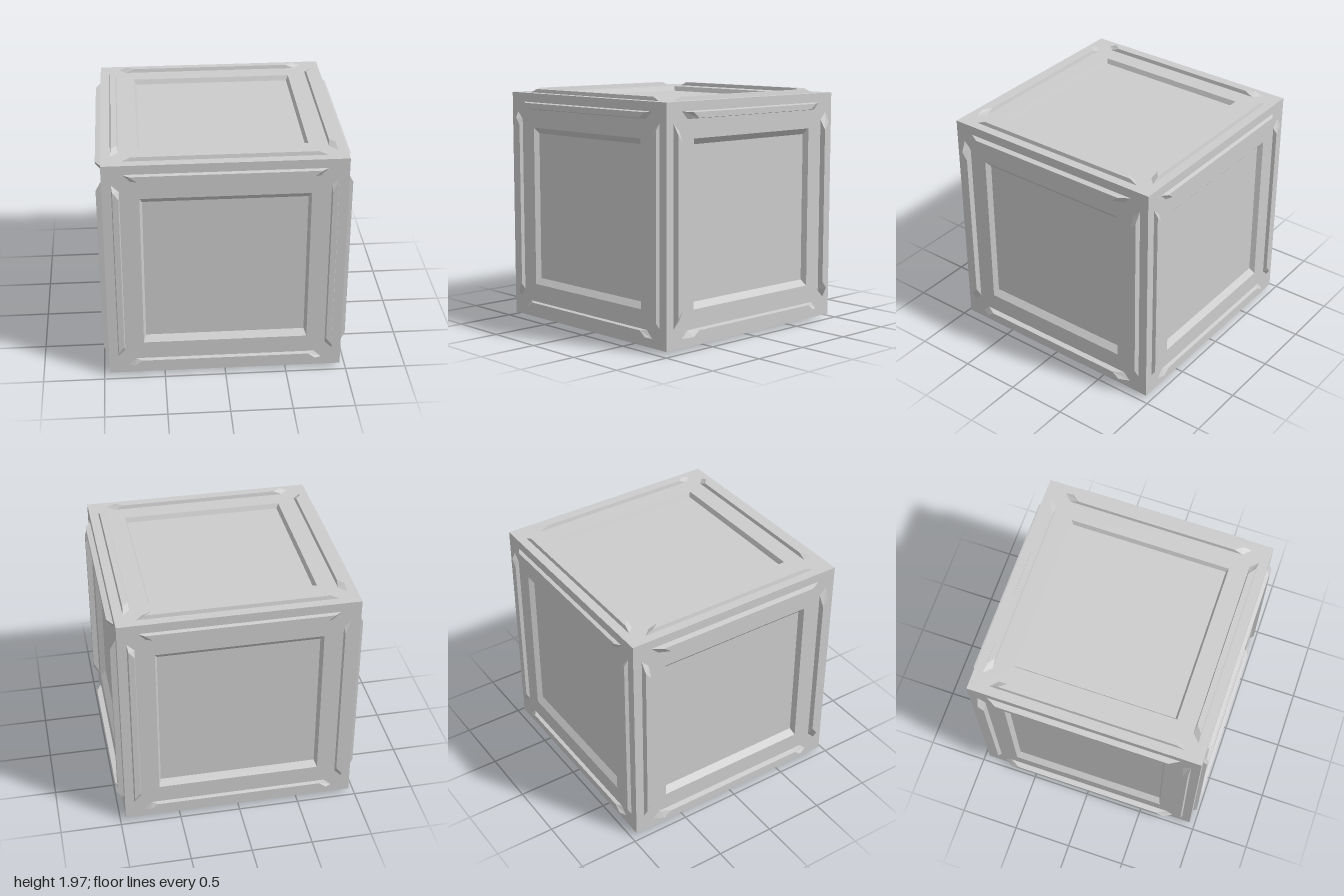
import * as THREE from 'three';

const HALF = 0.955;    // half size of the cube body
const CENTRE_Y = 0.985;

// Skin a series of four-cornered rings (counter-clockwise) and cap the last one.
function loft(rings) {
  const pos = [];
  const quad = (a, b, c, d) => [a, b, c, a, c, d].forEach((p) => pos.push(...p));
  for (let r = 0; r < rings.length - 1; r++) {
    for (let i = 0; i < 4; i++) {
      const j = (i + 1) % 4;
      quad(rings[r][i], rings[r][j], rings[r + 1][j], rings[r + 1][i]);
    }
  }
  quad(...rings[rings.length - 1]);
  const geo = new THREE.BufferGeometry();
  geo.setAttribute('position', new THREE.Float32BufferAttribute(pos, 3));
  geo.computeVertexNormals();
  return geo;
}

const rect = (x, y, z) => [[-x, -y, z], [x, -y, z], [x, y, z], [-x, y, z]];

// Mitred strip outline: long outer edge below, short inner edge above
const strip = (outerX, innerX, outerY, innerY, z) => [
  [-outerX, -outerY, z], [outerX, -outerY, z], [innerX, -innerY, z], [-innerX, -innerY, z],
];

export function createModel() {
  const group = new THREE.Group();
  group.name = 'panelledCube';
  const material = new THREE.MeshStandardMaterial({ color: 0xcccccc, flatShading: true });

  // One cube side: a flat frame with a sunken panel and four raised strips
  function side(name, rotX, rotY, { floorX, floorY, depth, height, bevel }) {
    const face = new THREE.Group();
    face.name = name;

    const panel = new THREE.Mesh(loft([
      rect(HALF, HALF, 0),
      rect(0.667, 0.667, 0),
      rect(floorX, floorY, -depth),
    ]), material);
    panel.name = 'recessedPanel';
    face.add(panel);

    const stripGeo = loft([
      strip(0.793, 0.733, 0.88, 0.82, 0),
      strip(0.793 - bevel, 0.733 - bevel, 0.873, 0.827, height),
    ]);
    for (let i = 0; i < 4; i++) {
      const trim = new THREE.Mesh(stripGeo, material);
      trim.name = 'edgeStrip';
      trim.rotation.z = i * Math.PI / 2;
      face.add(trim);
    }

    face.rotation.set(rotX, rotY, 0);
    face.position.set(0, 0, HALF).applyEuler(face.rotation);
    face.position.y += CENTRE_Y;
    group.add(face);
  }

  const frontBack = { floorX: 0.647, floorY: 0.618, depth: 0.042, height: 0.03, bevel: 0.05 };
  const leftRight = { floorX: 0.647, floorY: 0.618, depth: 0.045, height: 0.045, bevel: 0.085 };
  const topBottom = { floorX: 0.65, floorY: 0.65, depth: 0.04, height: 0.03, bevel: 0.07 };
  const q = Math.PI / 2;
  side('frontSide', 0, 0, frontBack);
  side('backSide', 0, Math.PI, frontBack);
  side('leftSide', 0, q, leftRight);
  side('rightSide', 0, -q, leftRight);
  side('topSide', -q, 0, topBottom);
  side('bottomSide', q, 0, topBottom);

  return group;
}
